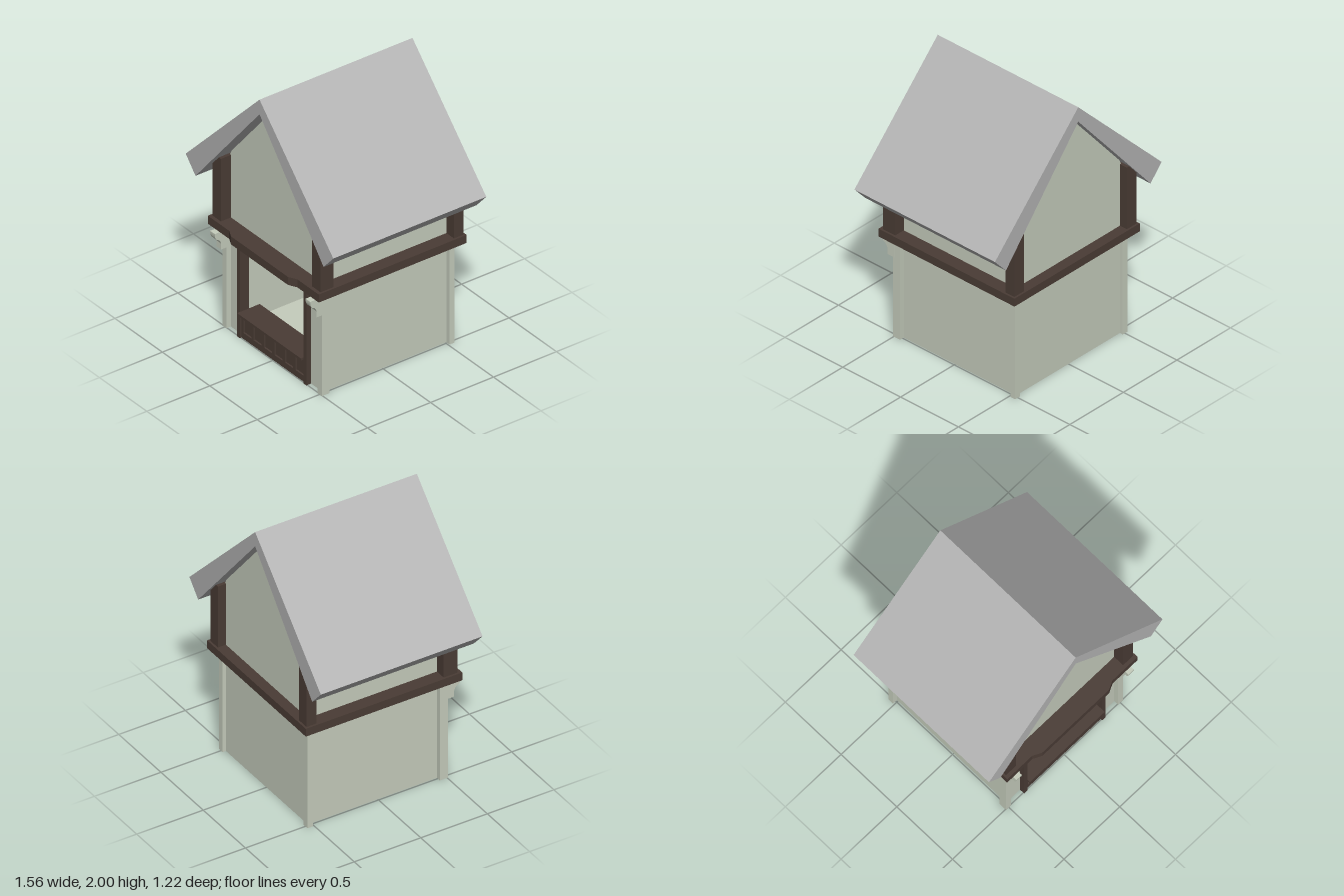
import * as THREE from 'three';

const material = (name, color, side = THREE.FrontSide) => {
  const m = new THREE.MeshStandardMaterial({ color, side });
  m.name = name;
  return m;
};

const rectangle = (Type, x0, y0, x1, y1) =>
  new Type([[x0, y0], [x1, y0], [x1, y1], [x0, y1]].map(p => new THREE.Vector2(...p)));
const polygon = points => new THREE.Shape(points.map(p => new THREE.Vector2(...p)));
const extrude = (shape, depth) =>
  new THREE.ExtrudeGeometry(shape, { depth, bevelEnabled: false, curveSegments: 6 });

export function createModel() {
  const group = new THREE.Group();
  group.name = 'marketHouse';
  const plaster = material('pale plaster', 0xc5ccbc);
  const wood = material('dark timber', 0x4a3c35);
  const slate = material('grey roof', 0xb3b3b3);

  const add = (name, geometry, mat) => {
    const mesh = new THREE.Mesh(geometry, mat);
    mesh.name = name;
    group.add(mesh);
    return mesh;
  };
  // Box given by its lower and upper corners
  const box = (name, mat, [x0, y0, z0], [x1, y1, z1]) =>
    add(name, new THREE.BoxGeometry(x1 - x0, y1 - y0, z1 - z0), mat)
      .position.set((x0 + x1) / 2, (y0 + y1) / 2, (z0 + z1) / 2);
  // Same box on both sides of the model
  const pair = (name, mat, [x0, y0, z0], [x1, y1, z1]) => {
    box(name + 'Left', mat, [x0, y0, z0], [x1, y1, z1]);
    box(name + 'Right', mat, [-x1, y0, z0], [-x0, y1, z1]);
  };

  // Gable walls, the front one with the shop opening
  const gable = () => polygon([[-0.49, 0], [0.49, 0], [0.49, 1.29], [0.465, 1.345],
    [0, 1.9], [-0.465, 1.345], [-0.49, 1.29]]);
  const front = gable();
  front.holes.push(rectangle(THREE.Path, -0.345, 0.01, 0.345, 0.72));
  add('frontWall', extrude(front, 0.03), plaster).position.z = 0.44;
  add('backWall', extrude(gable(), 0.03), plaster).position.z = -0.525;
  pair('sideWall', plaster, [0.46, 0, -0.51], [0.49, 1.29, 0.455]);
  box('floor', plaster, [-0.485, 0, -0.52], [0.485, 0.012, 0.465]);

  // Lower plaster corner posts
  pair('frontPilaster', plaster, [0.48, 0, 0.445], [0.525, 0.745, 0.505]);
  pair('backPilaster', plaster, [0.48, 0, -0.55], [0.525, 0.745, -0.51]);

  // Curved brackets under the jetty
  const bracket = new THREE.Shape();
  bracket.moveTo(0.49, 0.61);
  bracket.lineTo(0.55, 0.61);
  bracket.lineTo(0.55, 0.655);
  bracket.quadraticCurveTo(0.56, 0.69, 0.585, 0.695);
  bracket.quadraticCurveTo(0.6, 0.71, 0.6, 0.745);
  bracket.lineTo(0.49, 0.745);
  for (const [side, x] of [['Left', 0.528], ['Right', -0.478]]) {
    const g = extrude(bracket, 0.05);
    g.rotateY(-Math.PI / 2);
    add('bracket' + side, g, plaster).position.x = x;
  }

  // Timber band around the house, bowed forward in the middle of the front
  const band = polygon([[-0.585, -0.6], [0.585, -0.6], [0.585, 0.575], [0.36, 0.575],
    [0.3, 0.605], [-0.3, 0.605], [-0.36, 0.575], [-0.585, 0.575]]);
  band.holes.push(rectangle(THREE.Path, -0.475, -0.51, 0.475, 0.455));
  const bandGeometry = extrude(band, 0.06);
  bandGeometry.rotateX(Math.PI / 2);
  add('timberBand', bandGeometry, wood).position.y = 0.82;

  // Upper timber corner posts
  pair('upperFrontPost', wood, [0.48, 0.81, 0.445], [0.57, 1.29, 0.55]);
  pair('upperBackPost', wood, [0.48, 0.81, -0.585], [0.57, 1.29, -0.51]);

  // Frame of the opening
  pair('openingJamb', wood, [0.335, 0, 0.435], [0.365, 0.745, 0.508]);
  box('openingLintel', wood, [-0.336, 0.705, 0.435], [0.336, 0.745, 0.5]);

  // Counter with six sunken panels
  const counterFront = rectangle(THREE.Shape, -0.336, 0, 0.336, 0.185);
  for (let i = 0; i < 6; i++) {
    const x = (i - 2.5) * 0.11;
    counterFront.holes.push(rectangle(THREE.Path, x - 0.042, 0.045, x + 0.042, 0.16));
  }
  add('counterFront', extrude(counterFront, 0.012), wood).position.z = 0.483;
  box('counterBack', wood, [-0.336, 0, 0.45], [0.336, 0.185, 0.483]);
  box('counterTop', wood, [-0.336, 0.18, 0.35], [0.336, 0.197, 0.53]);

  // Gabled roof slab
  const roof = polygon([[0, 2], [-0.778, 1.2], [-0.675, 1.085], [0, 1.89],
    [0.675, 1.085], [0.778, 1.2]]);
  add('roof', extrude(roof, 1.215), slate).position.z = -0.61;

  return group;
}
